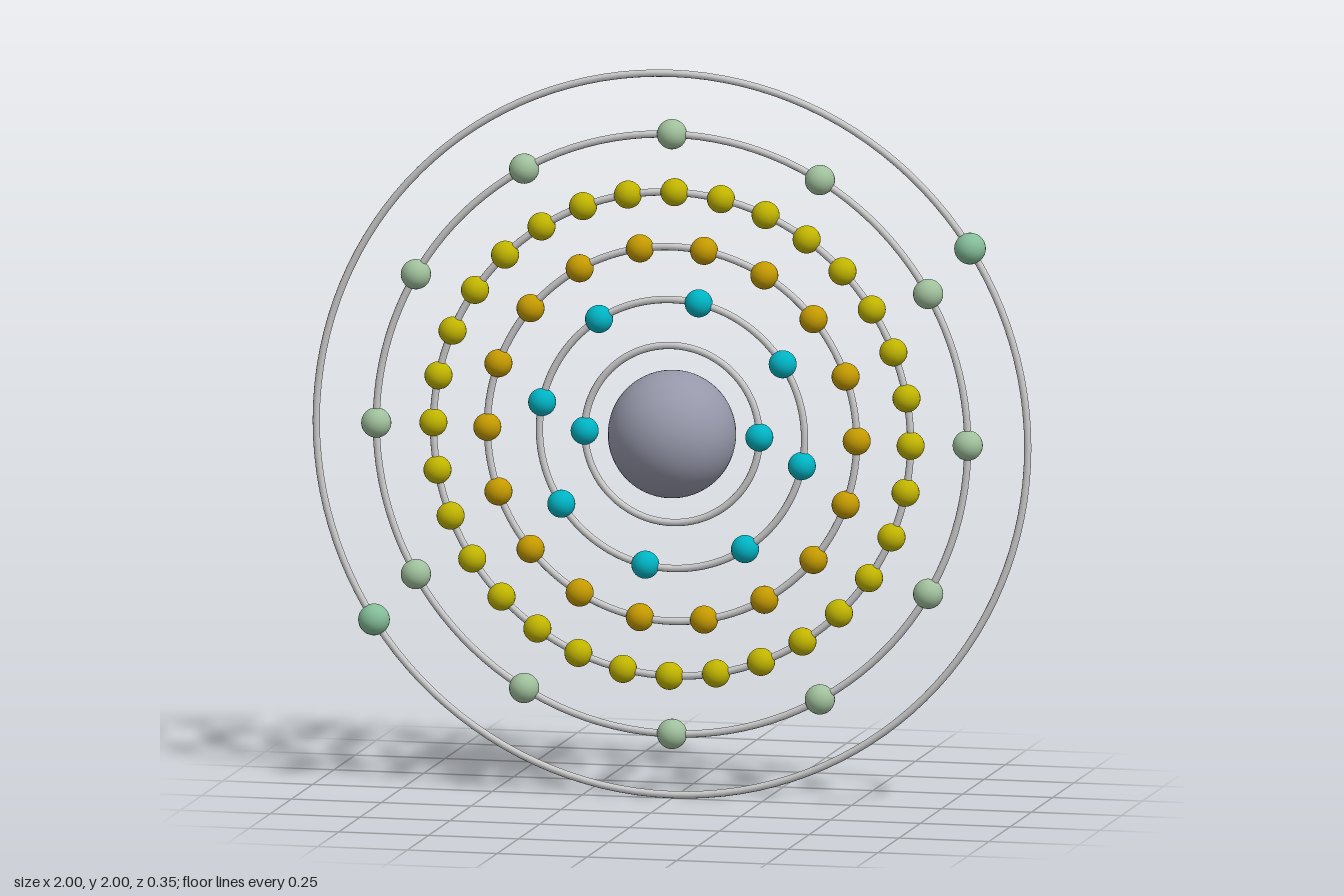
import * as THREE from 'three';

const CENTER_Y = 1;
const TUBE = 0.01;

// One entry per shell: ring radius, ball count, start angle in degrees, ball radius, ball colour
const SHELLS = [
  { radius: 0.243, count: 2, start: 0, ball: 0.038, color: 0x00b4c4 },
  { radius: 0.369, count: 8, start: -11.6, ball: 0.038, color: 0x00b4c4 },
  { radius: 0.514, count: 18, start: 0, ball: 0.038, color: 0xc49a00 },
  { radius: 0.664, count: 32, start: -0.6, ball: 0.038, color: 0xc0b400 },
  { radius: 0.823, count: 12, start: 0, ball: 0.041, color: 0xa0c09c },
  { radius: 0.99, count: 2, start: 33.1, ball: 0.043, color: 0x84bc98 },
];

function makeShell({ radius, count, start, ball, color }, ringMaterial) {
  const shell = new THREE.Group();

  // Circular track
  const ring = new THREE.Mesh(new THREE.TorusGeometry(radius, TUBE, 10, 128), ringMaterial);
  ring.name = 'orbitRing';
  shell.add(ring);

  // Balls evenly spaced along the track
  const geometry = new THREE.SphereGeometry(ball, 24, 16);
  const material = new THREE.MeshStandardMaterial({ color });
  for (let i = 0; i < count; i++) {
    const angle = THREE.MathUtils.degToRad(start + (360 * i) / count);
    const electron = new THREE.Mesh(geometry, material);
    electron.name = 'electron';
    electron.position.set(radius * Math.cos(angle), radius * Math.sin(angle), 0);
    shell.add(electron);
  }
  return shell;
}

export function createModel() {
  const model = new THREE.Group();
  model.name = 'atom';
  const atom = new THREE.Group();
  atom.name = 'nucleusAndShells';
  atom.position.y = CENTER_Y;
  model.add(atom);

  // Central nucleus
  const nucleus = new THREE.Mesh(
    new THREE.SphereGeometry(0.174, 48, 32),
    new THREE.MeshStandardMaterial({ color: 0x9698aa })
  );
  nucleus.name = 'nucleus';
  atom.add(nucleus);

  // Concentric electron shells, inner to outer
  const ringMaterial = new THREE.MeshStandardMaterial({ color: 0xcccccc });
  SHELLS.forEach((spec, i) => {
    const shell = makeShell(spec, ringMaterial);
    shell.name = `electronShell${i + 1}`;
    atom.add(shell);
  });
  return model;
}
